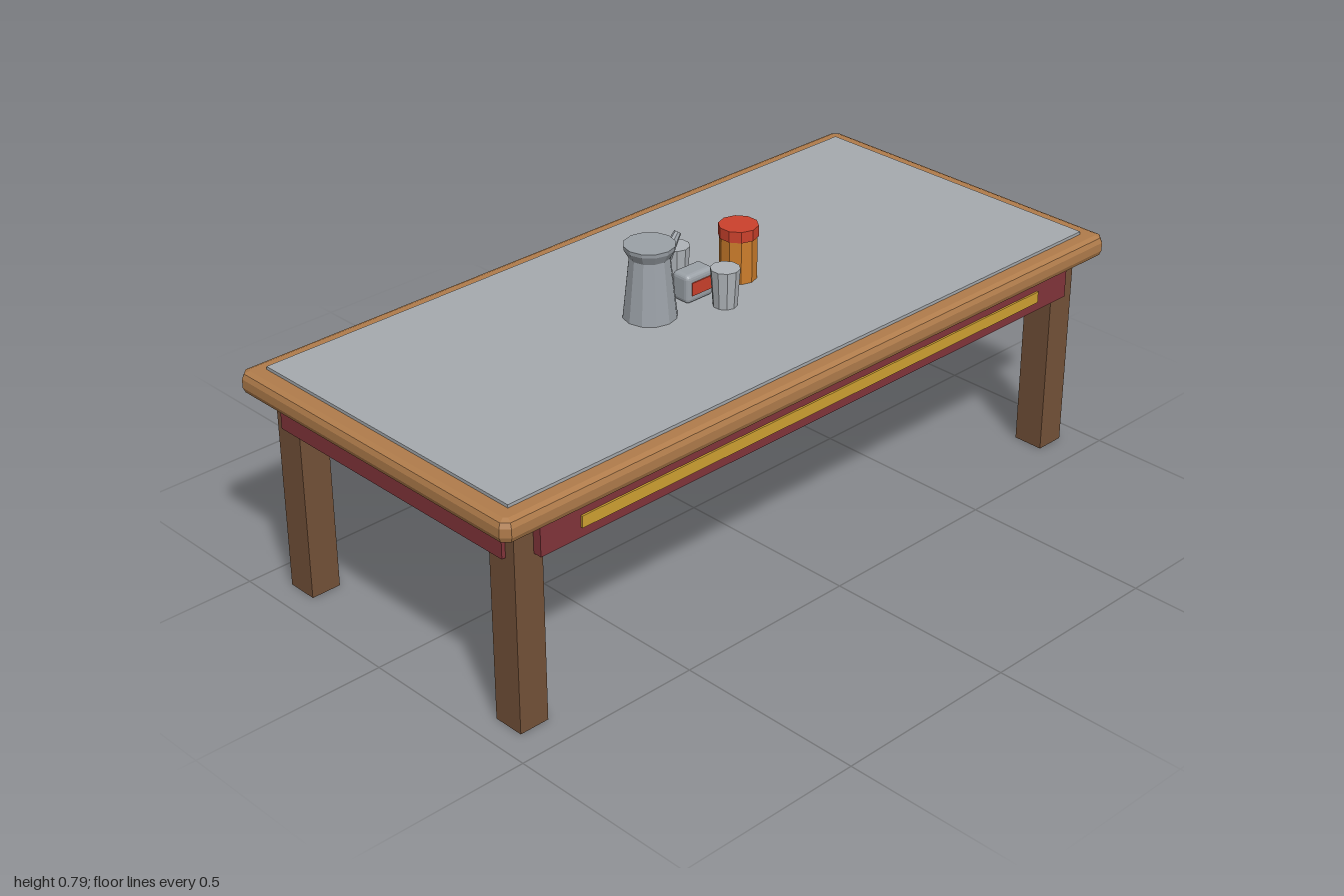
import * as THREE from 'three';
import { RoundedBoxGeometry } from 'three/addons/geometries/RoundedBoxGeometry.js';

const mat = (name, color) => {
  const m = new THREE.MeshStandardMaterial({ color, flatShading: true });
  m.name = name;
  return m;
};

export function createModel() {
  const wood = mat('wood', 0xb07c4b);
  const darkWood = mat('darkWood', 0x735138);
  const maroon = mat('maroon', 0x82343a);
  const gold = mat('gold', 0xd0a232);
  const slate = mat('slateTop', 0xa6aaae);
  const metal = mat('metal', 0x9ba1a7);
  const cupGrey = mat('cupGrey', 0xaeb3b8);
  const amber = mat('amber', 0xcc7d2b);
  const red = mat('red', 0xcb412c);

  const model = new THREE.Group();
  model.name = 'table';
  const add = (name, geometry, material, x = 0, y = 0, z = 0) => {
    const mesh = new THREE.Mesh(geometry, material);
    mesh.name = name;
    mesh.position.set(x, y, z);
    model.add(mesh);
    return mesh;
  };
  // Box given by its centre in x and z, and its bottom and top in y
  const box = (name, material, w, d, y0, y1, x = 0, z = 0) =>
    add(name, new THREE.BoxGeometry(w, y1 - y0, d), material, x, (y0 + y1) / 2, z);
  // Solid turned shape from [radius, height] pairs
  const turned = (name, material, profile, sides, x, z) =>
    add(name, new THREE.LatheGeometry(profile.map(([r, y]) => new THREE.Vector2(r, y)), sides), material, x, 0, z);

  // Tabletop with bevelled rim and clipped corners
  const bevel = 0.018, hx = 1 - bevel, hz = 0.47 - bevel, c = 0.008;
  const outline = new THREE.Shape([
    [hx - c, -hz], [hx, -hz + c], [hx, hz - c], [hx - c, hz],
    [-hx + c, hz], [-hx, hz - c], [-hx, -hz + c], [-hx + c, -hz],
  ].map(([x, y]) => new THREE.Vector2(x, y)));
  const top = new THREE.ExtrudeGeometry(outline, {
    depth: 0.022, bevelEnabled: true, bevelSize: bevel, bevelThickness: bevel, bevelSegments: 2,
  });
  top.rotateX(-Math.PI / 2);
  add('tabletop', top, wood, 0, 0.549, 0);
  box('topPanel', slate, 1.9, 0.845, 0.58, 0.597);

  // Legs, aprons and gold stripes
  for (const s of [-1, 1]) {
    for (const t of [-1, 1]) box('leg', darkWood, 0.08, 0.082, 0, 0.535, s * 0.895, t * 0.377);
    box('longApron', maroon, 1.76, 0.035, 0.445, 0.527, 0, s * 0.4235);
    box('sideApron', maroon, 0.035, 0.78, 0.445, 0.527, s * 0.9275, 0);
    box('stripe', gold, 1.53, 0.006, 0.47, 0.5, 0, s * 0.443);
  }

  // Pitcher with flared rim and spout
  turned('pitcher', metal, [[0, 0.596], [0.067, 0.596], [0.05, 0.752], [0.062, 0.774], [0.063, 0.784], [0, 0.784]], 12, -0.145, 0);
  const spout = add('spout', new THREE.CylinderGeometry(0.009, 0.016, 0.065, 8), metal, -0.073, 0.758, 0);
  spout.rotation.z = -0.65;

  // Cups
  for (const s of [-1, 1])
    turned('cup', cupGrey, [[0, 0.596], [0.03, 0.596], [0.037, 0.695], [0, 0.695]], 10, 0.02, s * 0.086);

  // Small rounded holder with a red front plate
  add('holder', new RoundedBoxGeometry(0.09, 0.075, 0.056, 2, 0.012), metal, -0.003, 0.634, 0);
  box('holderLabel', red, 0.062, 0.004, 0.618, 0.652, -0.003, 0.029);

  // Jar with lid
  turned('jar', amber, [[0, 0.596], [0.047, 0.596], [0.047, 0.712], [0, 0.712]], 10, 0.15, 0);
  turned('jarLid', red, [[0, 0.709], [0.05, 0.709], [0.05, 0.738], [0, 0.738]], 10, 0.15, 0);

  return model;
}
